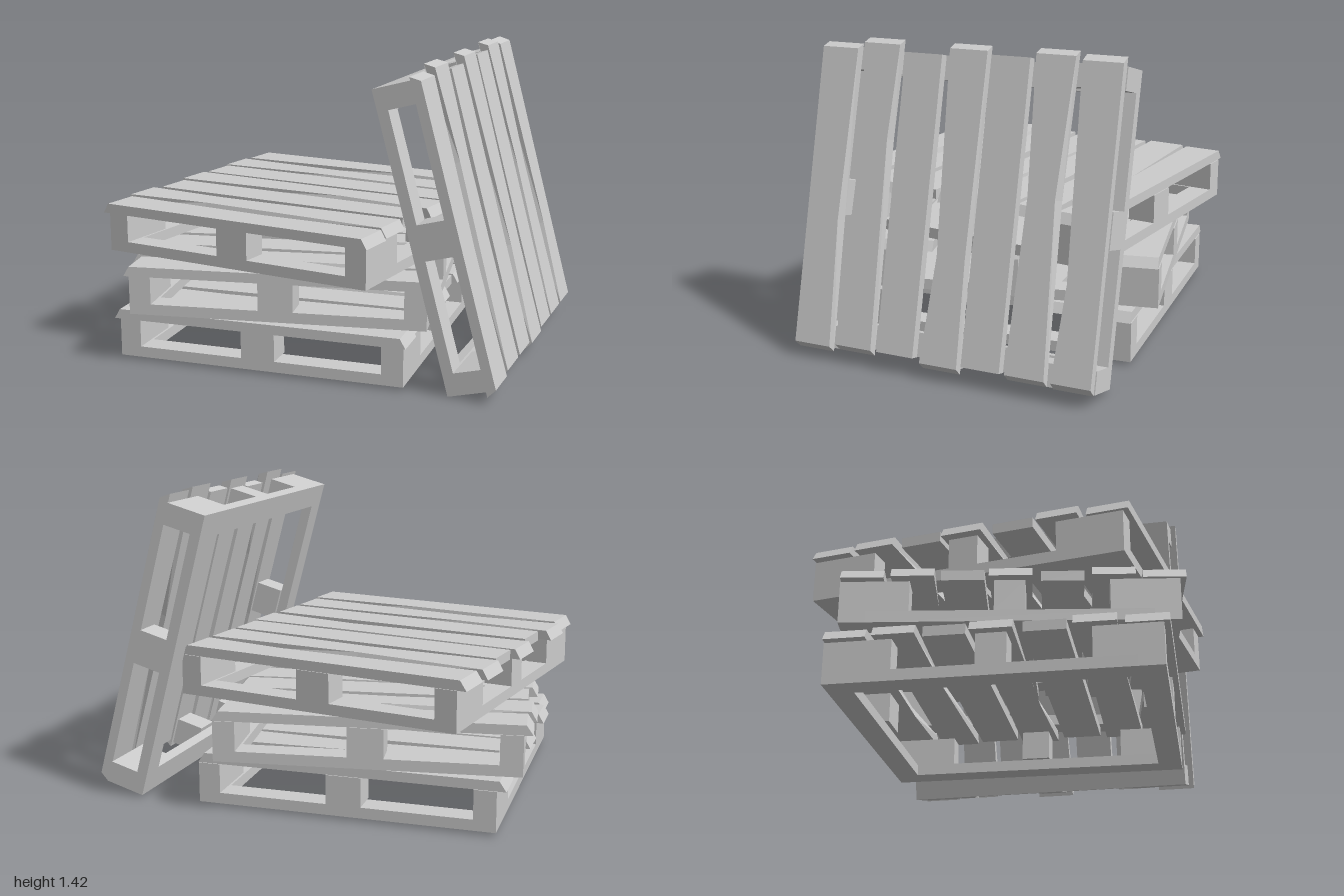
import * as THREE from 'three';

const material = new THREE.MeshStandardMaterial({ color: 0xcccccc, flatShading: true });

const LENGTH = 1.36, DEPTH = 1.41;            // pallet footprint
const BOARD = 0.05, PLANK_Y = 0.185, TOP = 0.23; // layer heights
const RIM = 0.11;                             // width of the base boards

function addBox(parent, name, w, h, d, x, y, z) {
  const mesh = new THREE.Mesh(new THREE.BoxGeometry(w, h, d), material);
  mesh.name = name;
  mesh.position.set(x, y, z);
  parent.add(mesh);
}

// Worn deck plank: a box split once along its length. The split line is pinched
// (more on the upper face) and the lower end edges can stick out further.
function plankGeometry({ z, x0, x1, slant = 0, notch = 0, front = 0, back = 0 }) {
  const geometry = new THREE.BoxGeometry(2, 1, 0.18, 2, 1, 1).toNonIndexed();
  const p = geometry.attributes.position;
  for (let i = 0; i < p.count; i++) {
    const section = Math.round(p.getX(i));
    const upper = p.getY(i) > 0;
    const side = Math.sign(p.getZ(i));
    let x = section < 0 ? x0 : section > 0 ? x1 : notch;
    if (!upper) x += section * slant;
    let dz = 0;
    if (section === 0) dz = -side * (side > 0 ? front : back) * (upper ? 1 : 0.5);
    p.setXYZ(i, x, upper ? TOP : PLANK_Y, z + p.getZ(i) + dz);
  }
  geometry.computeVertexNormals();
  return geometry;
}

const planks = [
  { z: 0.64, x0: -0.67, x1: 0.67, slant: 0.026, notch: 0.1, back: 0.02 },
  { z: 0.43, x0: -0.7, x1: 0.655, slant: 0.026, notch: -0.28, front: 0.03, back: 0.02 },
  { z: 0.22, x0: -0.67, x1: 0.655 },
  { z: 0.005, x0: -0.7, x1: 0.67, slant: 0.026, notch: 0.2, front: 0.035, back: 0.01 },
  { z: -0.195, x0: -0.685, x1: 0.655 },
  { z: -0.4, x0: -0.705, x1: 0.655, slant: 0.026, notch: -0.1, front: 0.025, back: 0.03 },
  { z: -0.61, x0: -0.69, x1: 0.655, slant: 0.03, notch: 0.24, front: 0.03 },
];

function createPallet(name) {
  const pallet = new THREE.Group();
  pallet.name = name;
  const blockH = PLANK_Y - BOARD, blockY = BOARD + blockH / 2;
  const cornerW = 0.1, cornerD = 0.29, midDepth = 0.13;

  for (const s of [-1, 1]) {
    // Base frame
    addBox(pallet, 'baseLongBoard', LENGTH, BOARD, RIM, 0, BOARD / 2, s * (DEPTH - RIM) / 2);
    addBox(pallet, 'baseEndBoard', RIM, BOARD, DEPTH - 2 * RIM, s * (LENGTH - RIM) / 2, BOARD / 2, 0);
    // Spacer blocks in the middle of each edge
    addBox(pallet, 'sideBlock', 0.16, blockH, midDepth, -0.0, blockY, s * (DEPTH - midDepth) / 2);
    addBox(pallet, 'endBlock', midDepth, blockH, 0.13, s * (LENGTH - midDepth) / 2, blockY, 0);
    // Spacer blocks at the corners
    for (const t of [-1, 1])
      addBox(pallet, 'cornerBlock', cornerW, blockH, cornerD,
        s * (LENGTH - cornerW) / 2, blockY, t * (DEPTH - cornerD) / 2);
  }

  // Deck
  for (const plank of planks) {
    const mesh = new THREE.Mesh(plankGeometry(plank), material);
    mesh.name = 'deckPlank';
    pallet.add(mesh);
  }
  return pallet;
}

export function createModel() {
  const model = new THREE.Group();
  model.name = 'palletStack';

  // Three pallets stacked with a twist
  const stack = [
    ['bottomPallet', -0.2, 0.02, 0, 0],
    ['middlePallet', -0.21, 0.25, -0.01, 0.13],
    ['topPallet', -0.19, 0.48, 0, -0.19],
  ];
  for (const [name, x, y, z, turn] of stack) {
    const pallet = createPallet(name);
    pallet.position.set(x, y, z);
    pallet.rotation.y = turn;
    model.add(pallet);
  }

  // One pallet leaning against the stack
  const leaning = createPallet('leaningPallet');
  leaning.position.set(0.55, 0.667, 0);
  leaning.rotation.set(0.007, -0.065, THREE.MathUtils.degToRad(-75), 'YXZ');
  model.add(leaning);

  return model;
}
